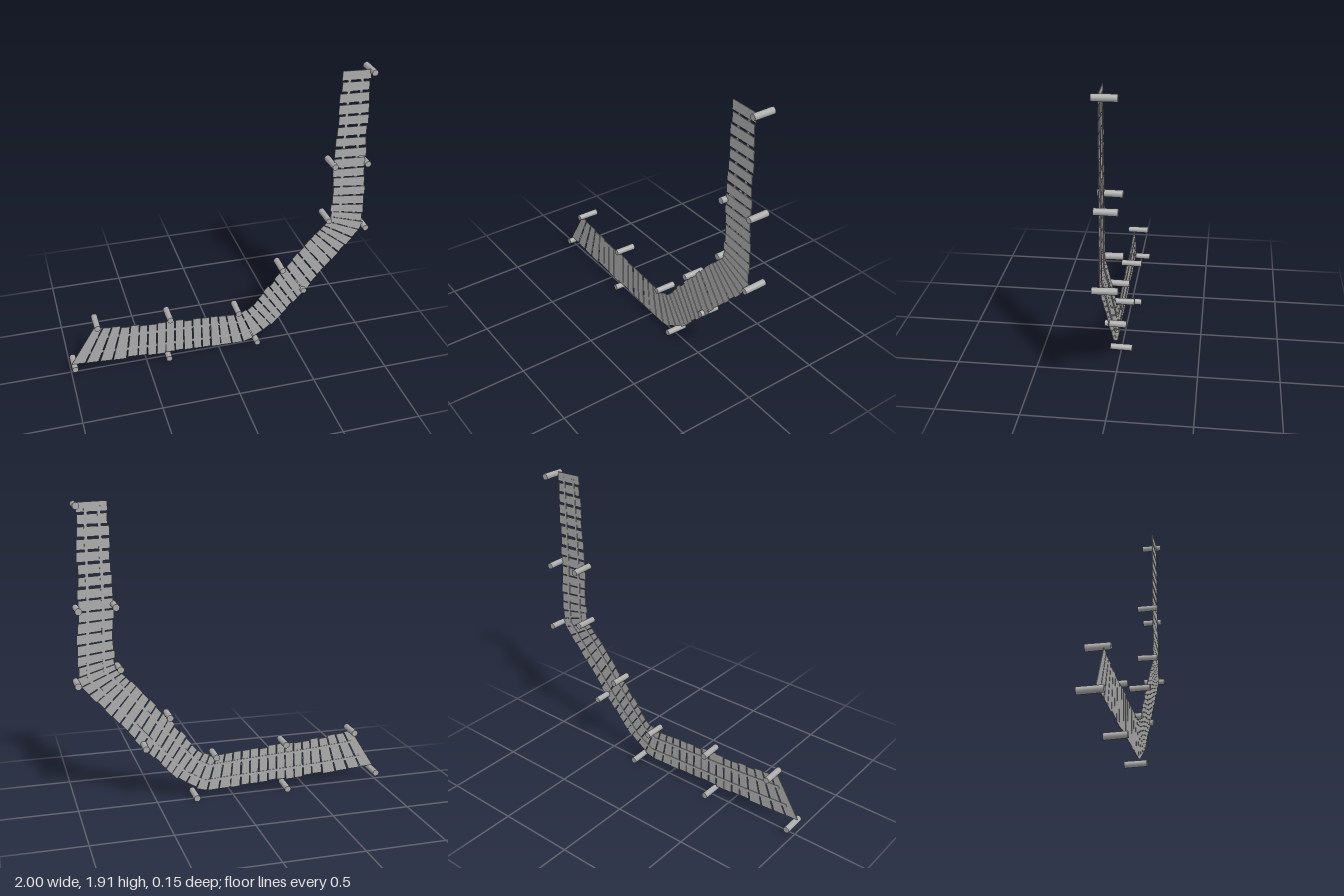
import * as THREE from 'three';

// Stations along the walkway: plank index, inner end x/y, outer end x/y
const STATIONS = [
  [0, -0.81, 0.34, -0.95, 0.09],
  [4, -0.57, 0.315, -0.59, 0.065],
  [13, -0.04, 0.28, -0.03, 0.045],
  [16, 0.13, 0.265, 0.2, 0.035],
  [18, 0.205, 0.3, 0.34, 0.12],
  [24, 0.43, 0.565, 0.56, 0.35],
  [29, 0.63, 0.8, 0.79, 0.615],
  [33, 0.735, 0.905, 0.965, 0.82],
  [35, 0.745, 0.98, 0.965, 0.95],
  [40, 0.74, 1.3, 0.95, 1.29],
  [48, 0.755, 1.885, 0.935, 1.88],
];
const LAST = 48;

// Post centres x/y, and the front end z
const POSTS = [
  [-0.978, 0.07, 0.072], [-0.815, 0.365, 0.07], [-0.34, 0.33, 0.065], [-0.355, 0.025, 0.07],
  [0.125, 0.29, 0.062], [0.255, 0.03, 0.068], [0.42, 0.58, 0.065], [0.575, 0.39, 0.058],
  [0.72, 0.91, 0.066], [0.976, 0.825, 0.073], [0.736, 1.295, 0.07], [0.96, 1.282, 0.06],
  [0.95, 1.895, 0.066],
];

// Point on the deck: t runs along the planks, f from the inner (0) to the outer (1) edge
function deckPoint(t, f) {
  let i = 0;
  while (i < STATIONS.length - 2 && t > STATIONS[i + 1][0]) i++;
  const a = STATIONS[i], b = STATIONS[i + 1];
  const u = (t - a[0]) / (b[0] - a[0]);
  const m = a.map((v, k) => v + (b[k] - v) * u);
  return new THREE.Vector2(m[1] + (m[3] - m[1]) * f, m[2] + (m[4] - m[2]) * f);
}

function seeded(seed) {
  return () => {
    seed = (seed * 16807) % 2147483647;
    return seed / 2147483647 - 0.5;
  };
}

// Flat slab cut from a polygon
function slab(points, z, depth) {
  const geo = new THREE.ExtrudeGeometry(new THREE.Shape(points), { depth, bevelEnabled: false });
  geo.translate(0, 0, z);
  return geo;
}

export function createModel() {
  const group = new THREE.Group();
  const wood = new THREE.MeshStandardMaterial({ color: 0xaaaaaa });
  wood.name = 'grey wood';
  const add = (geo, name) => {
    const mesh = new THREE.Mesh(geo, wood);
    mesh.name = name;
    group.add(mesh);
    return mesh;
  };

  // Slightly uneven tapered planks
  const rand = seeded(4217);
  for (let i = 0; i <= LAST; i++) {
    const half = i > 40 ? 0.4 : 0.455;
    const j = () => rand() * 0.07;
    const f0 = rand() * 0.06, f1 = 1 + rand() * 0.06;
    add(slab([
      deckPoint(i - half + j(), f0), deckPoint(i - half + j(), f1),
      deckPoint(i + half + j(), f1), deckPoint(i + half + j(), f0),
    ], 0.03, 0.004), 'plank');
  }

  // Two stringers running under the planks, one piece per bay
  for (const f of [0.28, 0.72]) {
    for (let s = 0; s < STATIONS.length - 1; s++) {
      const t0 = STATIONS[s][0], t1 = STATIONS[s + 1][0];
      const h = (t) => 0.01 / deckPoint(t, 0).distanceTo(deckPoint(t, 1));
      add(slab([
        deckPoint(t0, f - h(t0)), deckPoint(t0, f + h(t0)),
        deckPoint(t1, f + h(t1)), deckPoint(t1, f - h(t1)),
      ], 0.027, 0.003), 'stringer');
    }
  }

  // Round posts beside the deck, each leaning a little
  const back = -0.072;
  for (const [x, y, front] of POSTS) {
    const geo = new THREE.CylinderGeometry(0.02, 0.021, front - back, 16);
    geo.rotateX(Math.PI / 2);
    const post = add(geo, 'post');
    post.position.set(x, y, (front + back) / 2);
    post.rotation.set(rand() * 0.06, rand() * 0.06, 0);
  }
  return group;
}
